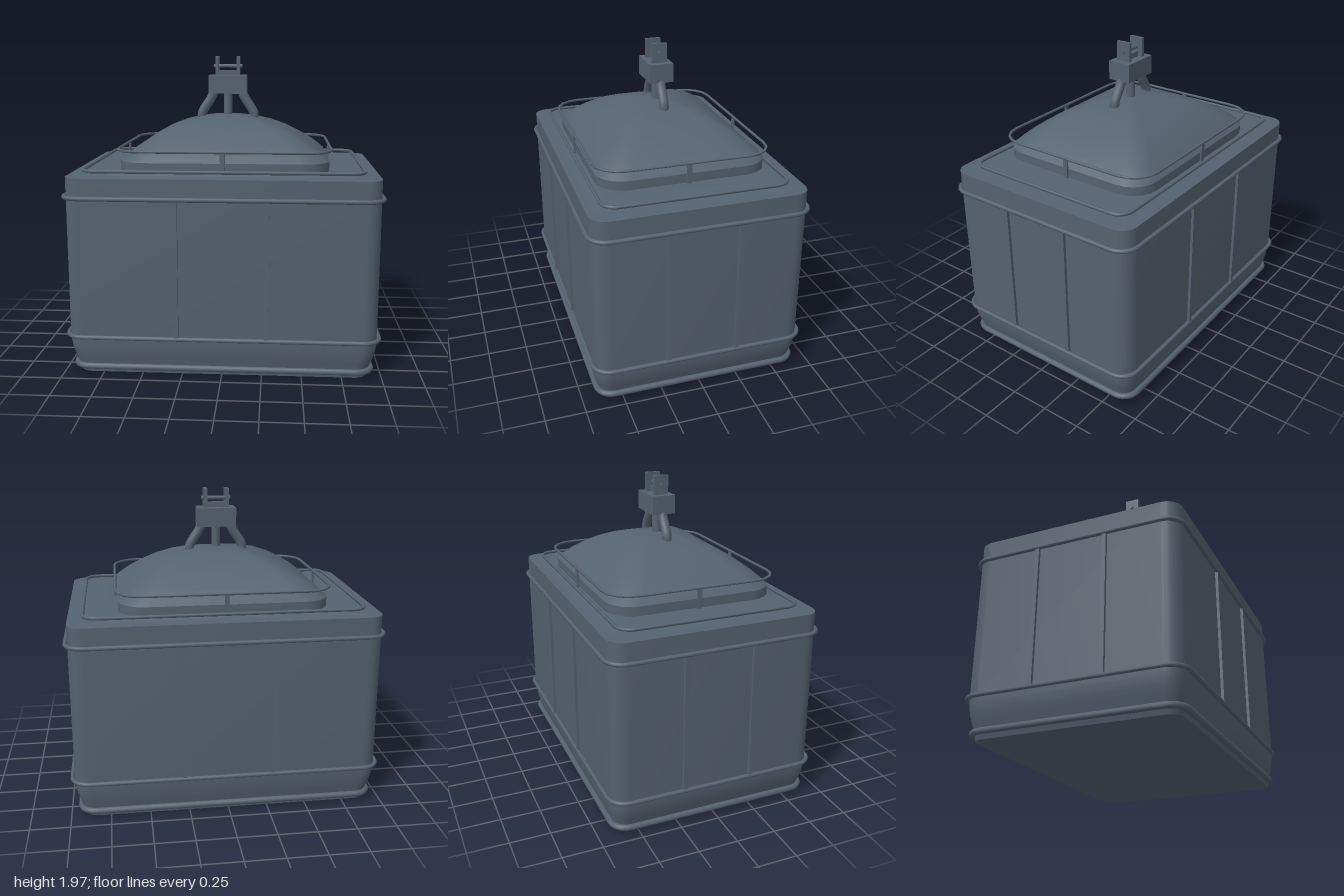
import * as THREE from 'three';
import { toCreasedNormals } from 'three/addons/utils/BufferGeometryUtils.js';

// Rounded rectangle loop at one height
function loop(y, hx, hz, r, seg) {
  const pts = [];
  for (let q = 0; q < 4; q++) {
    const sx = q === 0 || q === 3 ? 1 : -1, sz = q < 2 ? 1 : -1;
    for (let i = 0; i <= seg; i++) {
      const a = (q + i / seg) * Math.PI / 2;
      pts.push([sx * (hx - r) + r * Math.cos(a), y, sz * (hz - r) + r * Math.sin(a)]);
    }
  }
  return pts;
}

// Skin through sections [y, halfX, halfZ, cornerRadius], bottom to top; halfX 0 closes an end
function loft(sections, seg = 6, crease = 0.55) {
  const loops = sections.map(([y, hx, hz, r]) => loop(y, hx, hz, r, seg));
  const pos = [], n = loops[0].length;
  for (let i = 0; i < loops.length - 1; i++) {
    for (let j = 0; j < n; j++) {
      const k = (j + 1) % n, a = loops[i], c = loops[i + 1];
      if (sections[i][1] > 0) pos.push(...a[j], ...c[j], ...a[k]);
      if (sections[i + 1][1] > 0) pos.push(...a[k], ...c[j], ...c[k]);
    }
  }
  const g = new THREE.BufferGeometry();
  g.setAttribute('position', new THREE.Float32BufferAttribute(pos, 3));
  return toCreasedNormals(g, crease);
}

// Closed round bar following a rounded rectangle
function railLoop(y, hx, hz, r, t, seg = 6) {
  const s = [];
  for (let i = 0; i <= 8; i++) {
    const a = i / 8 * Math.PI * 2, d = t * Math.cos(a);
    s.push([y + t * Math.sin(a), hx + d, hz + d, r + d]);
  }
  return loft(s, seg, 1);
}

export function createModel() {
  const model = new THREE.Group();
  model.name = 'cableCabin';
  const steel = new THREE.MeshStandardMaterial({ color: 0x556270 });
  steel.name = 'slate grey paint';
  const add = (name, geo, x = 0, y = 0, z = 0) => {
    const m = new THREE.Mesh(geo, steel);
    m.name = name;
    m.position.set(x, y, z);
    model.add(m);
    return m;
  };
  const box = (name, w, h, d, x, y, z) => add(name, new THREE.BoxGeometry(w, h, d), x, y, z);

  // Cabin shell with a tucked-in base and a shallow roof
  add('cabinShell', loft([
    [0, 0, 0, 0], [0, 0.91, 0.63, 0.08], [0.06, 0.93, 0.64, 0.09],
    [0.1, 0.944, 0.65, 0.095], [0.15, 0.96, 0.66, 0.1], [0.2, 0.968, 0.664, 0.1],
    [0.25, 0.97, 0.667, 0.1], [1.25, 0.97, 0.667, 0.1], [1.256, 0.88, 0.58, 0.08],
    [1.272, 0.72, 0.56, 0.08], [1.272, 0, 0, 0],
  ]));

  // Bands around the cabin
  add('baseBand', railLoop(0.043, 0.935, 0.648, 0.095, 0.02));
  for (const y of [0.243, 1.127]) add('waistBand', railLoop(y, 0.983, 0.677, 0.11, 0.014));
  add('roofRail', railLoop(1.28, 0.875, 0.576, 0.09, 0.011));

  // Vertical ribs on all four walls
  for (const s of [-1, 1]) for (const e of [-1, 1]) {
    box('longWallRib', 0.026, 0.88, 0.03, e * 0.28, 0.685, s * 0.67);
    box('endWallRib', 0.03, 0.88, 0.026, s * 0.974, 0.685, e * 0.22);
  }

  // Domed roof
  const dome = [[1.26, 1], [1.33, 1], [1.365, 0.94], [1.405, 0.86], [1.455, 0.74], [1.505, 0.6],
    [1.545, 0.45], [1.573, 0.3], [1.59, 0.15], [1.595, 0]];
  add('roofDome', loft(dome.map(([y, f]) => [y, 0.66 * f, 0.54 * f, 0.17 * f]), 5, 0.5));

  // Guard rail around the dome
  add('guardRail', railLoop(1.4, 0.672, 0.554, 0.17, 0.009, 4));
  for (const s of [-1, 1]) {
    box('guardPost', 0.03, 0.14, 0.012, 0, 1.335, s * 0.554);
    box('guardPost', 0.012, 0.14, 0.03, s * 0.672, 1.335, 0);
  }

  // Hanger: centre post and two bent legs
  add('hangerPost', new THREE.CylinderGeometry(0.029, 0.029, 0.17, 16), 0, 1.655, 0);
  for (const s of [-1, 1]) {
    const path = new THREE.CatmullRomCurve3([
      [0.09, 1.75], [0.115, 1.695], [0.155, 1.635], [0.173, 1.6], [0.175, 1.555],
    ].map(([x, y]) => new THREE.Vector3(s * x, y, 0)));
    add('hangerLeg', new THREE.TubeGeometry(path, 14, 0.031, 12));
  }

  // Hanger block and clevis
  box('hangerBlock', 0.25, 0.12, 0.154, 0, 1.79, 0);
  box('clevisSpacer', 0.12, 0.035, 0.036, 0, 1.866, 0);
  for (const s of [-1, 1]) box('clevisPlate', 0.022, 0.125, 0.096, s * 0.07, 1.91, 0);
  add('clevisPin', new THREE.CylinderGeometry(0.013, 0.013, 0.19, 14), 0, 1.91, 0).rotation.z = Math.PI / 2;

  return model;
}
